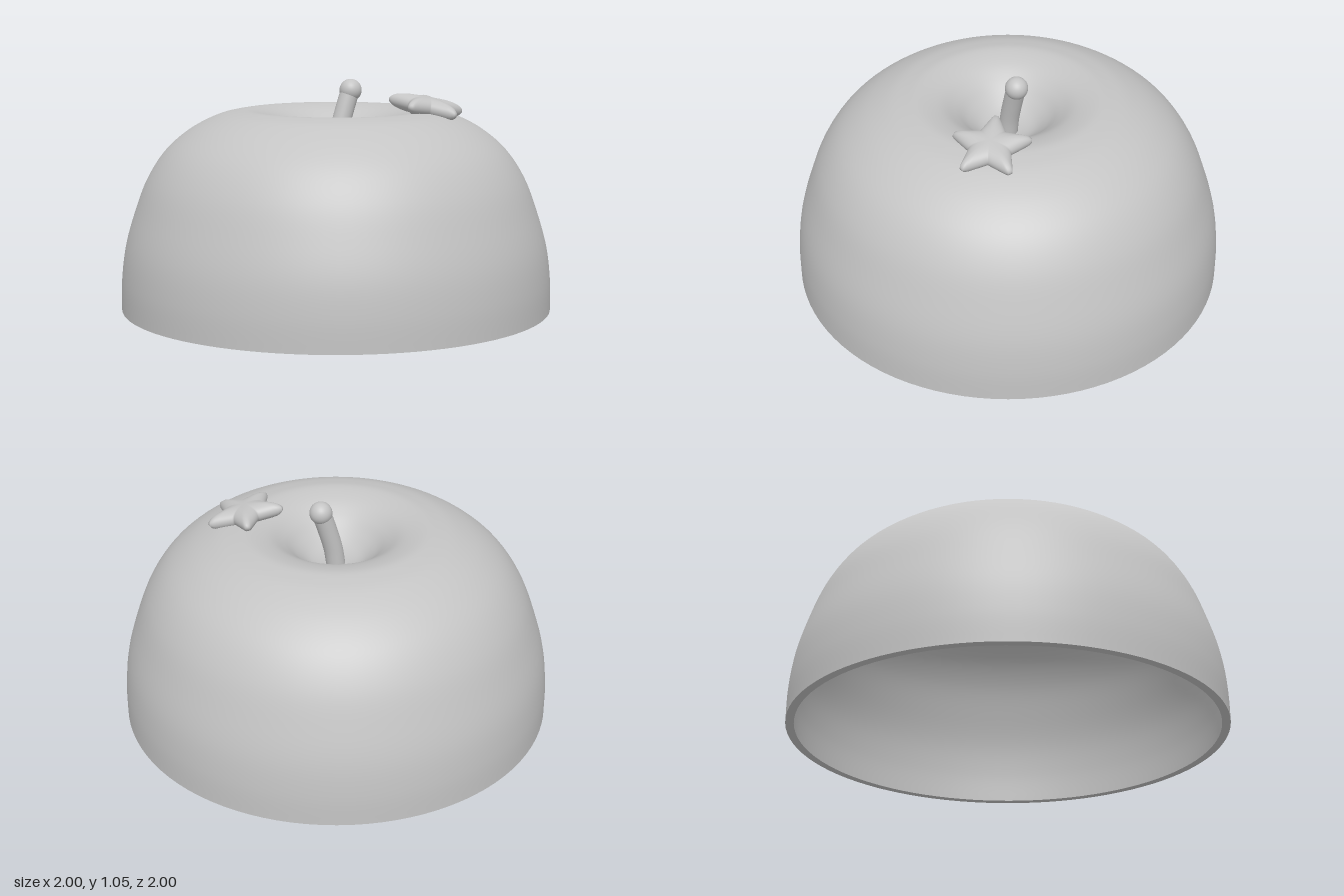
import * as THREE from 'three';
import { mergeVertices } from 'three/addons/utils/BufferGeometryUtils.js';

const V2 = (x, y) => new THREE.Vector2(x, y);

// Puffy five-pointed star lying in the xz plane, made by reshaping a sphere
function starGeometry(tip, notch, cap, height) {
  const geo = new THREE.SphereGeometry(1, 120, 28);
  geo.deleteAttribute('uv');
  geo.deleteAttribute('normal');
  const pos = geo.attributes.position;
  const step = (Math.PI * 2) / 5;
  const half = step / 2;
  for (let i = 0; i < pos.count; i++) {
    const x = pos.getX(i), y = pos.getY(i), z = pos.getZ(i);
    const theta = Math.atan2(z, x);
    const a = Math.abs(theta - Math.round(theta / step) * step);
    // straight edge from tip to notch in polar form, blunted at the tip
    const edge = (tip * notch * Math.sin(half)) /
      (tip * Math.sin(a) + notch * Math.sin(half - a));
    const s = Math.min(1, Math.hypot(x, z));
    const r = Math.min(edge, cap) * Math.pow(s, 0.7);
    pos.setXYZ(i, r * Math.cos(theta), height * y, r * Math.sin(theta));
  }
  const merged = mergeVertices(geo, 1e-5);
  merged.computeVertexNormals();
  return merged;
}

export function createModel() {
  const group = new THREE.Group();
  group.name = 'appleLid';
  const grey = new THREE.MeshStandardMaterial({ color: 0xc4c4c4 });
  grey.name = 'plainGrey';

  const add = (name, geometry) => {
    const mesh = new THREE.Mesh(geometry, grey);
    mesh.name = name;
    group.add(mesh);
    return mesh;
  };

  // Dome profile from the rim up, over the shoulder and down into the dimple
  const profile = new THREE.SplineCurve([
    V2(1, 0), V2(0.997, 0.14), V2(0.978, 0.29), V2(0.936, 0.44), V2(0.875, 0.6),
    V2(0.79, 0.73), V2(0.68, 0.825), V2(0.56, 0.887), V2(0.47, 0.91), V2(0.4, 0.915),
    V2(0.31, 0.893), V2(0.24, 0.85), V2(0.18, 0.797), V2(0.12, 0.752),
    V2(0.06, 0.733), V2(0, 0.73),
  ]);
  const outer = profile.getPoints(90);
  outer[outer.length - 1].x = 0;

  // Inner wall follows the outside at a constant thickness
  const wall = 0.038;
  const inner = outer.map((p, i) => {
    const t = profile.getTangent(i / 90);
    return V2(Math.max(0, p.x - t.y * wall), Math.max(0, p.y + t.x * wall));
  });
  inner[0].set(1 - wall, 0);
  inner[90].x = 0;

  add('domeOutside', new THREE.LatheGeometry(outer, 96));
  add('domeInside', new THREE.LatheGeometry(inner.reverse(), 96));
  add('rim', new THREE.LatheGeometry([V2(1 - wall, 0), V2(1, 0)], 96));

  // Leaning stem with a round knob
  const stemPath = new THREE.CatmullRomCurve3([
    new THREE.Vector3(0, 0.715, 0),
    new THREE.Vector3(0.015, 0.81, 0),
    new THREE.Vector3(0.045, 0.915, 0),
    new THREE.Vector3(0.075, 1.005, 0),
  ]);
  add('stem', new THREE.TubeGeometry(stemPath, 24, 0.044, 28));
  add('stemKnob', new THREE.SphereGeometry(0.052, 32, 20)).position.set(0.076, 1.003, 0);

  // Star resting on the shoulder, tilted with the surface
  const star = add('star', starGeometry(0.205, 0.098, 0.18, 0.044));
  star.position.set(0.328, 0.937, 0.276);
  const tilt = new THREE.Vector3(0.15, 1, 0.13).normalize();
  star.quaternion.setFromUnitVectors(new THREE.Vector3(0, 1, 0), tilt);
  star.rotateY(-0.035);

  return group;
}
